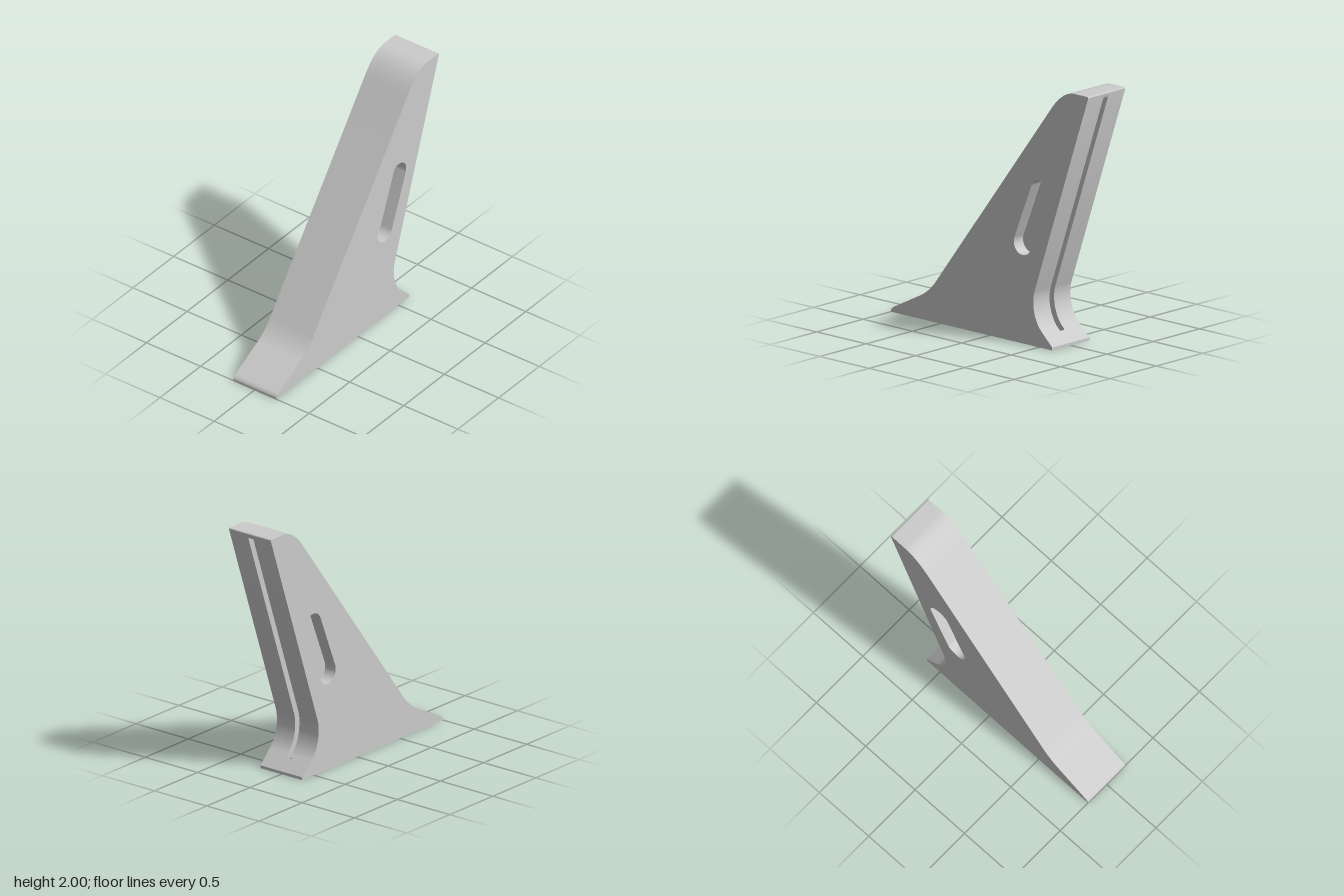
import * as THREE from 'three';
import { toCreasedNormals } from 'three/addons/utils/BufferGeometryUtils.js';

const material = new THREE.MeshStandardMaterial({ color: 0xcccccc });
const HALF = 0.2;          // half width of the stand
const GROOVE = 0.025;      // half width of the cable groove
const POCKET = 0.1;        // depth of each side pocket

// Toe, sloping upper edge and rounded top, shared by every layer
function startProfile() {
  const s = new THREE.Shape();
  s.moveTo(-1, 0);
  s.lineTo(-1, 0.012);
  s.quadraticCurveTo(-0.995, 0.03, -0.965, 0.045);
  s.lineTo(-0.7, 0.18);
  s.quadraticCurveTo(-0.62, 0.22, -0.55, 0.305);
  s.lineTo(0.62, 1.84);
  s.quadraticCurveTo(0.74, 2, 0.86, 2);
  s.lineTo(0.985, 2);
  s.quadraticCurveTo(1, 2, 0.997, 1.985);
  return s;
}

// Full outline with the leaning edge and curved heel
function fullProfile() {
  const s = startProfile();
  s.lineTo(0.455, 0.42);
  s.bezierCurveTo(0.42, 0.31, 0.46, 0.18, 0.53, 0.12);
  s.lineTo(0.634, 0.022);
  s.lineTo(0.634, 0);
  s.closePath();
  return s;
}

// Outline set back along the leaning edge, leaving the groove
function grooveProfile() {
  const s = startProfile();
  s.lineTo(0.988, 1.96);
  s.lineTo(0.938, 1.965);
  s.lineTo(0.408, 0.435);
  s.bezierCurveTo(0.365, 0.3, 0.42, 0.15, 0.495, 0.085);
  s.lineTo(0.495, 0);
  s.closePath();
  return s;
}

// Heel tip beyond the cable outlet
function heelProfile() {
  const s = new THREE.Shape();
  s.moveTo(0.55, 0);
  s.lineTo(0.55, 0.101);
  s.lineTo(0.634, 0.022);
  s.lineTo(0.634, 0);
  s.closePath();
  return s;
}

// Slanted slot with round ends
function slotPath() {
  const top = [0.505, 1.185], low = [0.335, 0.765], r = 0.09;
  const a = Math.atan2(top[1] - low[1], top[0] - low[0]);
  const p = new THREE.Path();
  p.absarc(top[0], top[1], r, a - Math.PI / 2, a + Math.PI / 2, false);
  p.absarc(low[0], low[1], r, a + Math.PI / 2, a + Math.PI * 1.5, false);
  p.closePath();
  return p;
}

function layer(name, shape, z0, z1) {
  const g = new THREE.ExtrudeGeometry(shape, { depth: z1 - z0, bevelEnabled: false, curveSegments: 20 });
  g.translate(0, 0, z0);
  const mesh = new THREE.Mesh(toCreasedNormals(g, 0.45), material);
  mesh.name = name;
  return mesh;
}

export function createModel() {
  const group = new THREE.Group();
  group.name = 'stand';

  // Centre web with cable groove and outlet
  group.add(layer('grooveWeb', grooveProfile(), -GROOVE, GROOVE));
  group.add(layer('heelTip', heelProfile(), -GROOVE, GROOVE));

  // Each side: a solid inner plate and an outer plate holding the slot pocket
  for (const [side, s] of [['front', 1], ['back', -1]]) {
    const span = (a, b) => (s > 0 ? [a, b] : [-b, -a]);
    group.add(layer(side + 'InnerPlate', fullProfile(), ...span(GROOVE, HALF - POCKET)));
    const outer = fullProfile();
    outer.holes.push(slotPath());
    group.add(layer(side + 'SlottedPlate', outer, ...span(HALF - POCKET, HALF)));
  }
  return group;
}
